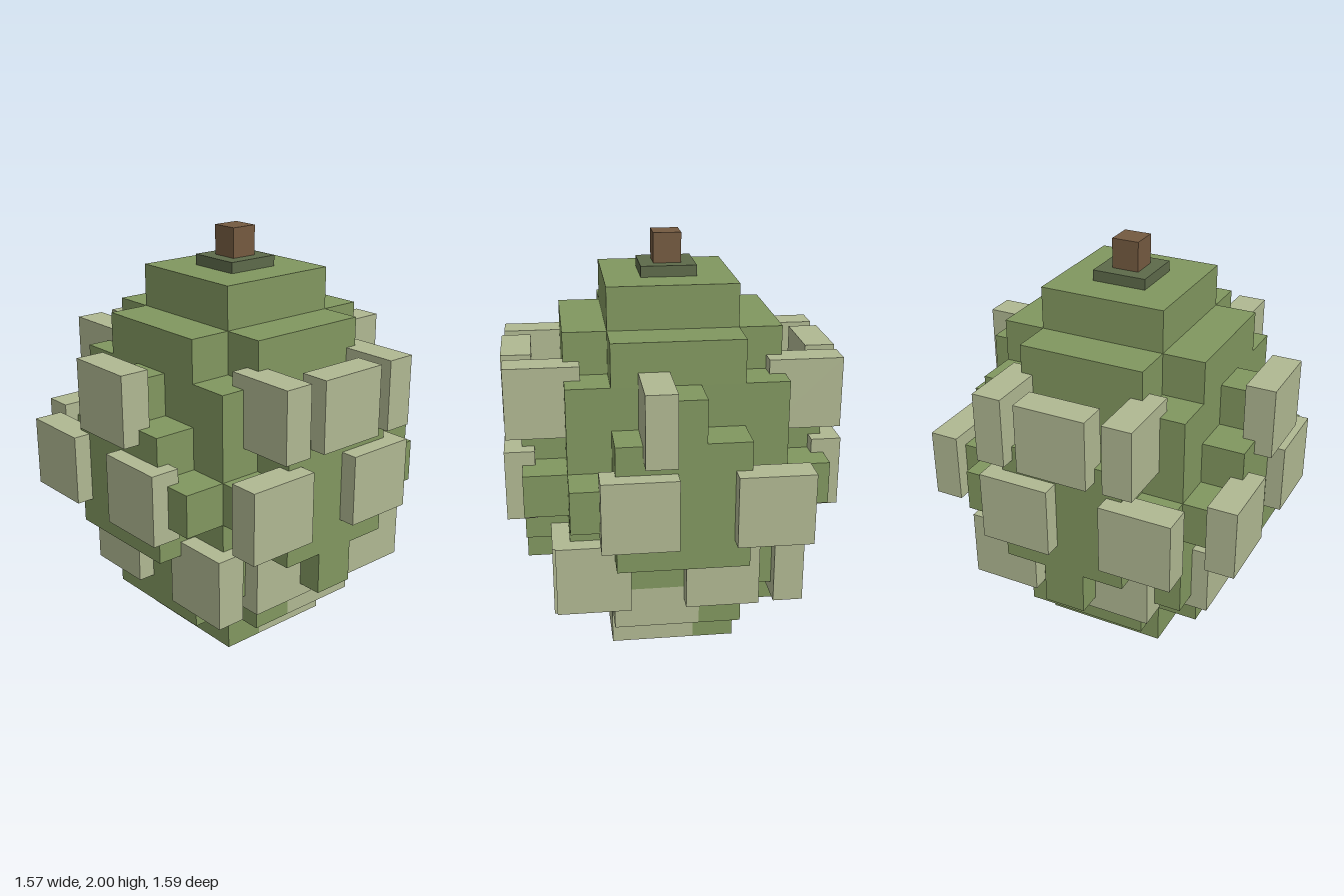
import * as THREE from 'three';

const material = (name, color) => {
  const m = new THREE.MeshStandardMaterial({ color });
  m.name = name;
  return m;
};

export function createModel() {
  const model = new THREE.Group();
  model.name = 'blockFruit';
  const green = material('rindGreen', 0x81975f);
  const pale = material('paleGreen', 0xb0b892);
  const dark = material('darkGreen', 0x5d6a4a);
  const brown = material('stemBrown', 0x745a40);

  const group = (name) => {
    const g = new THREE.Group();
    g.name = name;
    model.add(g);
    return g;
  };

  // Box between two corners
  const box = (parent, name, mat, x0, x1, y0, y1, z0, z1) => {
    const mesh = new THREE.Mesh(new THREE.BoxGeometry(x1 - x0, y1 - y0, z1 - z0), mat);
    mesh.position.set((x0 + x1) / 2, (y0 + y1) / 2, (z0 + z1) / 2);
    mesh.name = name;
    parent.add(mesh);
  };

  // Stepped body: each layer is a union of boxes given as half sizes in cells
  const U = 0.201;
  const cap = [[1.5, 1.5]];
  const cross = [[2.5, 1.5], [1.5, 2.5]];
  const wide = [[2.5, 2.5], [3.5, 1.5], [1.5, 3.5]];
  const layers = [
    cap, cross, [[2.5, 2.5], [3.5, 0.5]], wide, [[3.5, 2.5], [2.5, 3.5]],
    wide, [[2.5, 2.5], [0.5, 3.5]], cross, cap,
  ];
  const body = group('body');
  layers.forEach((boxes, k) => boxes.forEach(([hx, hz]) => {
    const cell = (name, mat, x0, x1, z0, z1) =>
      box(body, name, mat, x0 * U, x1 * U, k * U, (k + 1) * U, z0 * U, z1 * U);
    if (k < 2) {
      // The two lowest layers have a pale back corner
      cell('bodyLayer', green, -hx, -0.5, -hz, hz);
      cell('bodyLayer', green, -0.5, hx, 0.5, hz);
      cell('palePatch', pale, -0.5, hx, -hz, 0.5);
    } else {
      cell('bodyLayer', green, -hx, hx, -hz, hz);
    }
  }));

  // Raised scales: square plates facing along z or x
  const scales = group('scales');
  const W = 0.172, T = 0.07;
  const scale = (x, y, z, alongX) => {
    const hx = alongX ? T : W, hz = alongX ? W : T;
    box(scales, 'scale', pale, x - hx, x + hx, y - W + 0.005, y + W - 0.005, z - hz, z + hz);
  };
  for (const s of [-1, 1]) {
    // middle row
    for (const x of [-0.4, 0.2]) scale(x, 0.905, s * 0.715, false);
    for (const z of [0.4, -0.2]) scale(s * 0.715, 0.905, z, true);
    // lower row
    for (const x of [-0.2, 0.4]) scale(x, 0.505, s * 0.515, false);
    for (const z of [0.2, -0.4]) scale(s * 0.515, 0.505, z, true);
    // upper row
    scale(s * 0.715, 1.305, 0, true);
    for (const t of [-1, 1]) scale(s * 0.602, 1.305, t * 0.315, false);
  }
  scale(0, 1.305, 0.715, false);
  scale(0.11, 1.305, -0.635, true);

  // Stem and its collar
  box(model, 'stemCollar', dark, -0.13, 0.13, 1.8, 1.86, -0.13, 0.13);
  box(model, 'stem', brown, -0.065, 0.065, 1.85, 2, -0.065, 0.065);
  return model;
}
